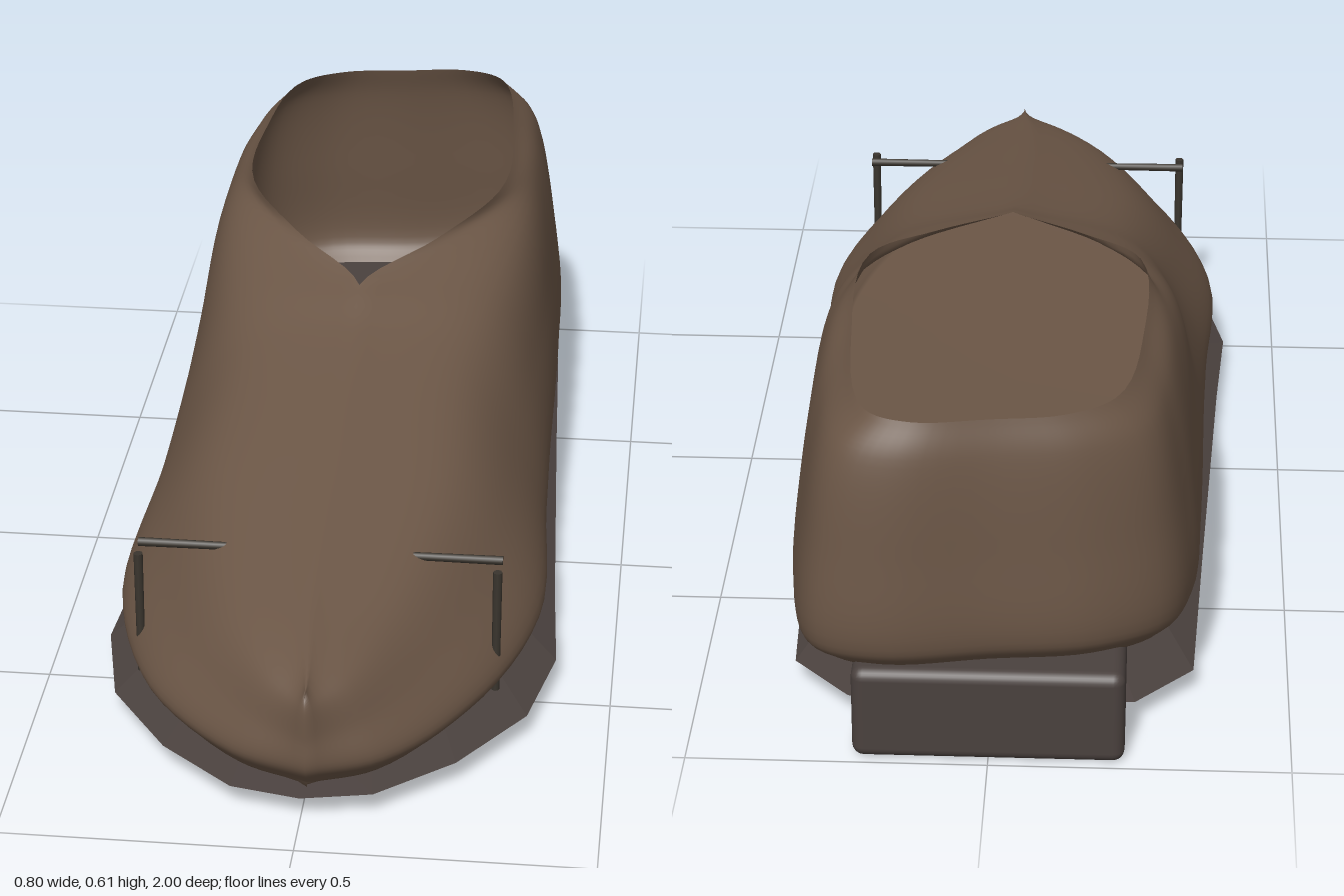
import * as THREE from 'three';
import { mergeVertices } from 'three/addons/utils/BufferGeometryUtils.js';
import { RoundedBoxGeometry } from 'three/addons/geometries/RoundedBoxGeometry.js';

const V = (x, y, z) => new THREE.Vector3(x, y, z);
const leather = new THREE.MeshStandardMaterial({ color: 0x6b5646, side: THREE.DoubleSide });
const soleMat = new THREE.MeshStandardMaterial({ color: 0x4a413e, flatShading: true });
const heelMat = new THREE.MeshStandardMaterial({ color: 0x4a413e });
const pinMat = new THREE.MeshStandardMaterial({ color: 0x3a352e });

// Skin closed rings of equal length, listed from bottom to top
function skin(rings) {
  const n = rings[0].length, index = [], pos = [];
  rings.forEach(r => r.forEach(p => pos.push(p.x, p.y, p.z)));
  for (let j = 0; j < rings.length - 1; j++) {
    for (let i = 0; i < n; i++) {
      const k = (i + 1) % n, a = j * n + i, b = j * n + k;
      index.push(a, b, a + n, b, b + n, a + n);
    }
  }
  const g = new THREE.BufferGeometry();
  g.setAttribute('position', new THREE.Float32BufferAttribute(pos, 3));
  g.setIndex(index);
  const welded = mergeVertices(g, 1e-4);
  welded.computeVertexNormals();
  return welded;
}

// Half outline (toe centre to heel centre) completed with its mirror image
function mirrorRing(half) {
  return [...half, ...half.slice(1, -1).reverse().map(p => V(-p.x, p.y, p.z))];
}

// Guide lines of one half of the upper, toe to heel
const guide = points => new THREE.CatmullRomCurve3(points.map(p => V(...p)));
const widest = guide([[0, .155, .998], [.125, .155, .945], [.272, .155, .765], [.37, .155, .46],
  [.36, .155, .1], [.352, .158, -.15], [.348, .163, -.35], [.343, .17, -.55],
  [.333, .18, -.75], [.29, .2, -.91], [.18, .207, -.968], [0, .207, -.968]]);
const shoulder = guide([[0, .265, 1], [.07, .285, .92], [.14, .32, .74], [.2, .385, .42],
  [.21, .455, .08], [.245, .495, -.1], [.285, .54, -.32], [.297, .548, -.5],
  [.286, .548, -.72], [.25, .548, -.89], [.15, .548, -.945], [0, .548, -.945]]);
// crest of the vamp up to the sixth point, then rim of the opening
const crest = guide([[0, .297, 1], [0, .325, .88], [0, .363, .71], [0, .43, .4],
  [0, .505, .08], [0, .545, -.03], [.13, .577, -.18], [.235, .608, -.34],
  [.243, .61, -.62], [.2, .61, -.875], [.12, .61, -.925], [0, .61, -.928]]);
const CREST_END = 5 / 11;

// Slight left/right difference of toe tip and heel
function skew(p) {
  const heel = 1 - THREE.MathUtils.smoothstep(p.z, -.95, -.6);
  const toe = THREE.MathUtils.smoothstep(p.z, .75, 1);
  return V(p.x + .02 * toe, p.y, p.z - .15 * p.x * heel);
}

function upperGeometry() {
  const STEPS = 66, ROWS = 30;
  const halves = Array.from({ length: ROWS + 2 }, () => []);
  for (let i = 0; i <= STEPS; i++) {
    const t = i / STEPS;
    const [side, high, top] = [widest, shoulder, crest].map(c => c.getPoint(t));
    if (t <= CREST_END + 1e-6) top.x = 0;
    // lower edge tucks in below the widest line
    const low = V(side.x * .91, side.y - .045, side.z * .965);
    // the wall is upright at the heel and slopes like a roof at the toe
    const lean = .22 + .2 * (1 - THREE.MathUtils.smoothstep(t, .2, .5));
    const wall = V(
      THREE.MathUtils.lerp(side.x, high.x, lean),
      THREE.MathUtils.lerp(side.y, high.y, .52),
      THREE.MathUtils.lerp(side.z, high.z, lean));
    const across = new THREE.CatmullRomCurve3([low, side, wall, high, top]);
    // insole meets the lower edge along the centre line
    halves[0].push(V(0, low.y - .008, low.z));
    for (let j = 0; j <= ROWS; j++) {
      const p = across.getPoint(j / ROWS);
      p.x = i === STEPS ? 0 : Math.max(0, p.x);
      halves[j + 1].push(p);
    }
  }
  return skin(halves.map(h => mirrorRing(h).map(skew)));
}

// Faceted lens-shaped plate
function soleGeometry() {
  const outline = [[0, .915], [.12, .89], [.25, .78], [.36, .62], [.4, .43], [.385, .2],
    [.355, -.4], [.338, -.77], [.24, -.872], [0, -.885]];
  const layers = [[0, .008], [.83, .022], [1, .046], [.83, .075], [0, .09]];
  return skin(layers.map(([s, y]) => mirrorRing(outline.map(([x, z]) => V(x * s, y, z * s)))));
}

// Thin round pin between two points
function pin(name, a, b, rStart, rEnd) {
  const g = new THREE.CylinderGeometry(rEnd, rStart, a.distanceTo(b), 8);
  const m = new THREE.Mesh(g, pinMat);
  m.name = name;
  m.position.copy(a).lerp(b, .5);
  m.quaternion.setFromUnitVectors(V(0, 1, 0), b.clone().sub(a).normalize());
  return m;
}

export function createModel() {
  const shoe = new THREE.Group();
  shoe.name = 'shoe';
  const add = (name, geometry, material) => {
    const m = new THREE.Mesh(geometry, material);
    m.name = name;
    shoe.add(m);
    return m;
  };

  add('upper', upperGeometry(), leather);
  add('sole', soleGeometry(), soleMat);
  add('heel', new RoundedBoxGeometry(.45, .17, .45, 3, .02), heelMat).position.set(0, .085, -.765);

  // upright and crossbar on each side of the toe
  for (const [side, s] of [['left', 1], ['right', -1]]) {
    shoe.add(pin(side + 'Upright', V(s * .306, .115, .648), V(s * .306, .345, .648), .007, .008));
    shoe.add(pin(side + 'Crossbar', V(s * .312, .345, .608), V(s * .15, .345, .608), .008, .007));
  }
  return shoe;
}
